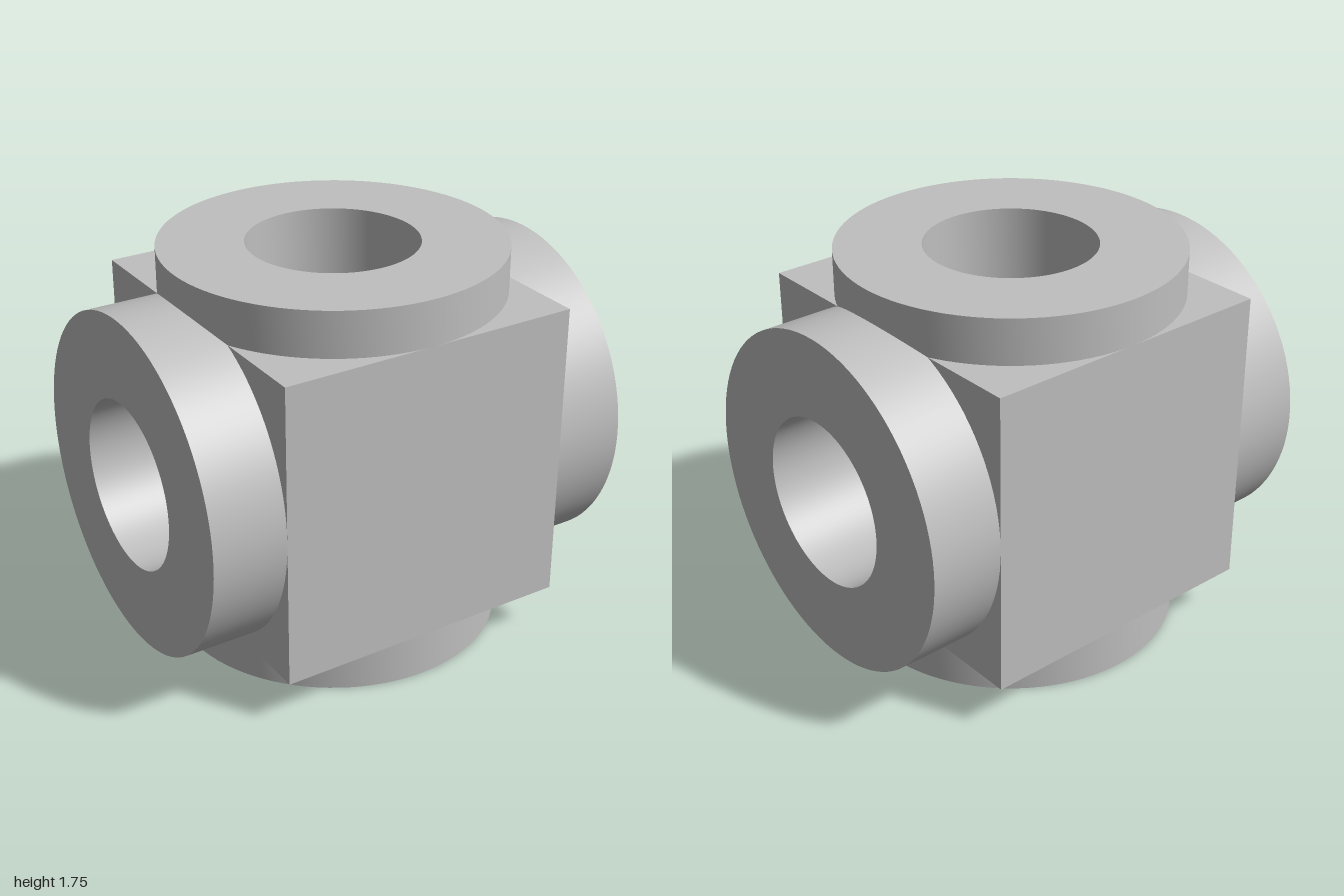
import * as THREE from 'three';
import { toCreasedNormals } from 'three/addons/utils/BufferGeometryUtils.js';

const R = 0.74;      // flange radius
const BORE = 0.37;   // bore radius
const HALF = 0.675;  // half of the block in x and y
const DEPTH = 0.74;  // half of the block in z
const CENTRE = 0.875;

const metal = new THREE.MeshStandardMaterial({ color: 0xbfbfbf });
metal.name = 'grey metal';

function add(parent, geometry, name) {
  const mesh = new THREE.Mesh(geometry, metal);
  mesh.name = name;
  parent.add(mesh);
  return mesh;
}

// Rectangular block face, pierced by the bore
function piercedFace(w, h) {
  const shape = new THREE.Shape([
    new THREE.Vector2(-w, -h), new THREE.Vector2(w, -h),
    new THREE.Vector2(w, h), new THREE.Vector2(-w, h),
  ]);
  shape.holes.push(new THREE.Path().absarc(0, 0, BORE, 0, Math.PI * 2, true));
  return new THREE.ShapeGeometry(shape, 48);
}

// Flange ring with its bore; a blind bore ends in a flat floor
function flange(end, boreEnd, blind) {
  const profile = [[BORE, HALF], [R, HALF], [R, end], [BORE, end], [BORE, boreEnd]];
  if (blind) profile.push([0, boreEnd]);
  const points = profile.map(([r, y]) => new THREE.Vector2(r, y));
  return toCreasedNormals(new THREE.LatheGeometry(points, 96), 0.5);
}

export function createModel() {
  const model = new THREE.Group();
  model.name = 'pipeCross';
  const body = new THREE.Group();
  body.name = 'body';
  body.position.y = CENTRE;
  model.add(body);

  for (const s of [1, -1]) {
    // Block faces
    const flat = new THREE.PlaneGeometry(HALF * 2, HALF * 2);
    flat.translate(0, 0, DEPTH);
    if (s < 0) flat.rotateY(Math.PI);
    add(body, flat, s > 0 ? 'blockFront' : 'blockBack');

    const side = piercedFace(DEPTH, HALF);
    side.translate(0, 0, HALF).rotateY(s * Math.PI / 2);
    add(body, side, s > 0 ? 'blockLeft' : 'blockRight');

    const cap = piercedFace(HALF, DEPTH);
    cap.translate(0, 0, HALF).rotateX(-s * Math.PI / 2);
    add(body, cap, s > 0 ? 'blockTop' : 'blockBottom');

    // Upper and lower flanges share a through bore
    const vertical = add(body, flange(CENTRE, 0, false), s > 0 ? 'topFlange' : 'bottomFlange');
    vertical.rotation.z = s > 0 ? 0 : Math.PI;

    // Side flanges have blind bores
    const lateral = add(body, flange(1, 0.45, true), s > 0 ? 'leftFlange' : 'rightFlange');
    lateral.rotation.z = -s * Math.PI / 2;
  }
  return model;
}
